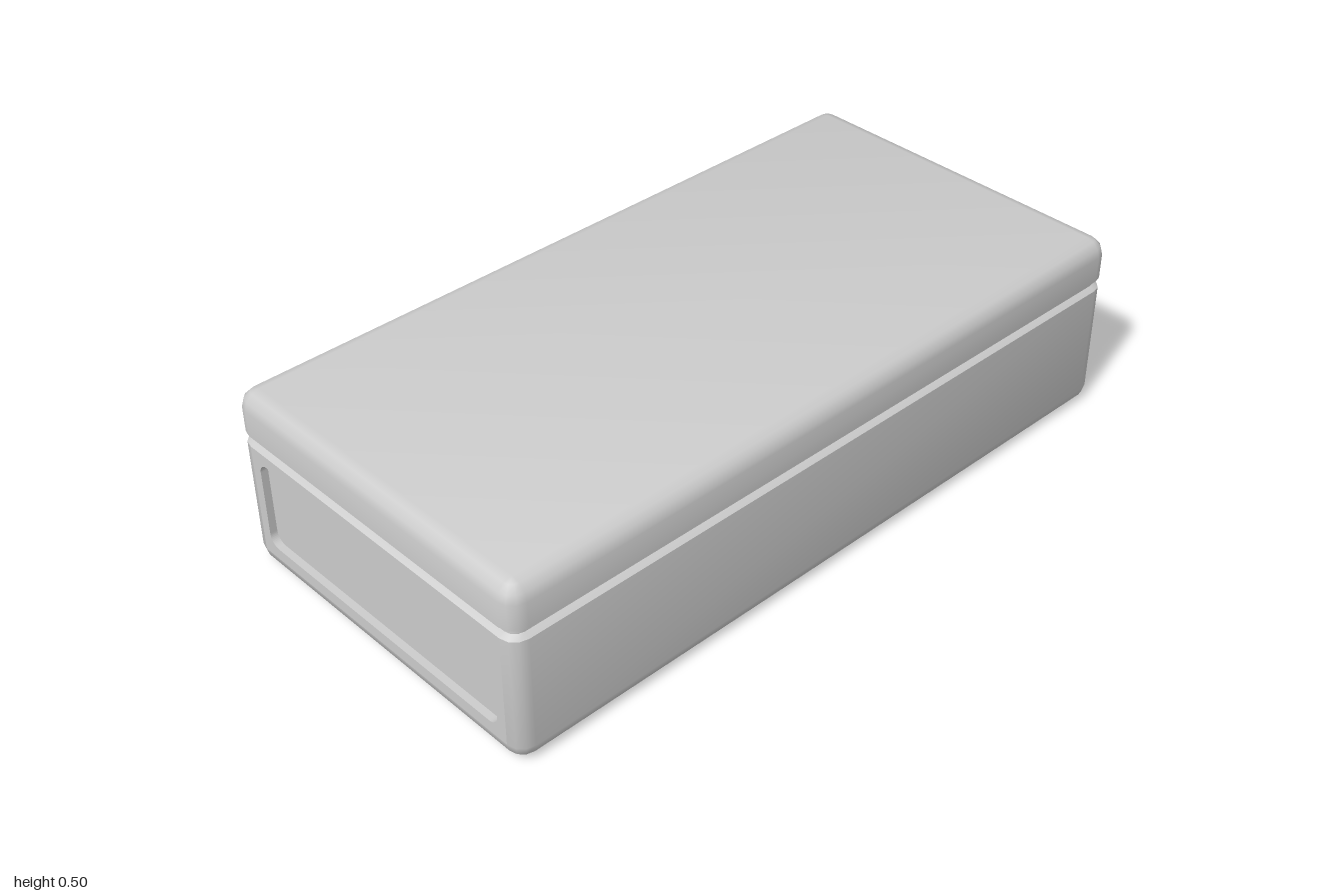
import * as THREE from 'three';
import { toCreasedNormals } from 'three/addons/utils/BufferGeometryUtils.js';

const HX = 1, HZ = 0.5, HEIGHT = 0.5, R = 0.045, STEPS = 3;
const material = new THREE.MeshStandardMaterial({ color: 0xcccccc });

function addMesh(parent, name, geometry) {
  const mesh = new THREE.Mesh(geometry, material);
  mesh.name = name;
  parent.add(mesh);
  return mesh;
}

// Rounded rectangle ring at height y, pulled in by inset
function ring(inset, y) {
  const r = R - inset, pts = [];
  [[1, 1], [-1, 1], [-1, -1], [1, -1]].forEach(([sx, sz], k) => {
    for (let j = 0; j <= STEPS; j++) {
      const a = (k + j / STEPS) * Math.PI / 2;
      pts.push([sx * (HX - R) + r * Math.cos(a), y, sz * (HZ - R) + r * Math.sin(a)]);
    }
  });
  return pts;
}

// Skin through rings; openRow leaves the two flat ends of that row open
function loft(profile, { capBottom = false, capTop = false, openRow = -1 }) {
  const rings = profile.map(([inset, y]) => ring(inset, y));
  const n = rings[0].length, index = [];
  const perSide = STEPS + 1;
  for (let row = 0; row < rings.length - 1; row++) {
    for (let i = 0; i < n; i++) {
      if (row === openRow && (i === 2 * perSide - 1 || i === n - 1)) continue;
      const a = row * n + i, b = row * n + (i + 1) % n;
      index.push(a, a + n, b, b, a + n, b + n);
    }
  }
  const last = (rings.length - 1) * n;
  for (let i = 1; i < n - 1; i++) {
    if (capBottom) index.push(0, i, i + 1);
    if (capTop) index.push(last, last + i + 1, last + i);
  }
  const geometry = new THREE.BufferGeometry();
  geometry.setAttribute('position', new THREE.Float32BufferAttribute(rings.flat(2), 3));
  geometry.setIndex(index);
  return toCreasedNormals(geometry, 0.7);
}

// Quarter-round edge as [inset, y] pairs, from the flat face to the wall
function edge(toY) {
  return Array.from({ length: STEPS + 1 }, (_, j) => {
    const a = j / STEPS * Math.PI / 2;
    return [R * (1 - Math.sin(a)), toY(R * (1 - Math.cos(a)))];
  });
}

function roundedRect(target, w, y0, y1, r) {
  target.moveTo(-w + r, y0);
  target.lineTo(w - r, y0);
  target.absarc(w - r, y0 + r, r, -Math.PI / 2, 0);
  target.absarc(w - r, y1 - r, r, 0, Math.PI / 2);
  target.absarc(-w + r, y1 - r, r, Math.PI / 2, Math.PI);
  target.absarc(-w + r, y0 + r, r, Math.PI, Math.PI * 1.5);
  target.closePath();
  return target;
}

export function createModel() {
  const model = new THREE.Group();
  model.name = 'box';
  const bodyTop = 0.355, neck = 0.015, depth = 0.02;

  // Lower tray, ending in the groove under the lid
  addMesh(model, 'body', loft(
    [...edge(d => d), [0, bodyTop], [neck, 0.365], [neck, 0.37]],
    { capBottom: true, openRow: STEPS }));

  // Lid with a rounded top edge
  addMesh(model, 'lid', loft(
    [[neck, 0.37], [neck, 0.375], [0, 0.385], ...edge(d => HEIGHT - d).reverse()],
    { capTop: true }));

  // End walls with a sunken rounded panel
  const frame = new THREE.Shape();
  const w = HZ - R;
  frame.moveTo(-w, R).lineTo(w, R).lineTo(w, bodyTop).lineTo(-w, bodyTop).closePath();
  const recess = [0.427, 0.077, 0.323, 0.03];
  frame.holes.push(roundedRect(new THREE.Path(), ...recess));
  const frameGeo = new THREE.ExtrudeGeometry(frame, { depth, bevelEnabled: false, curveSegments: 6 });
  const panelGeo = new THREE.ShapeGeometry(roundedRect(new THREE.Shape(), ...recess), 6);

  for (const side of [1, -1]) {
    const end = new THREE.Group();
    end.name = side > 0 ? 'leftEnd' : 'rightEnd';
    addMesh(end, 'endFrame', frameGeo);
    addMesh(end, 'endPanel', panelGeo);
    end.rotation.y = side * Math.PI / 2;
    end.position.x = side * (HX - depth);
    model.add(end);
  }
  return model;
}
